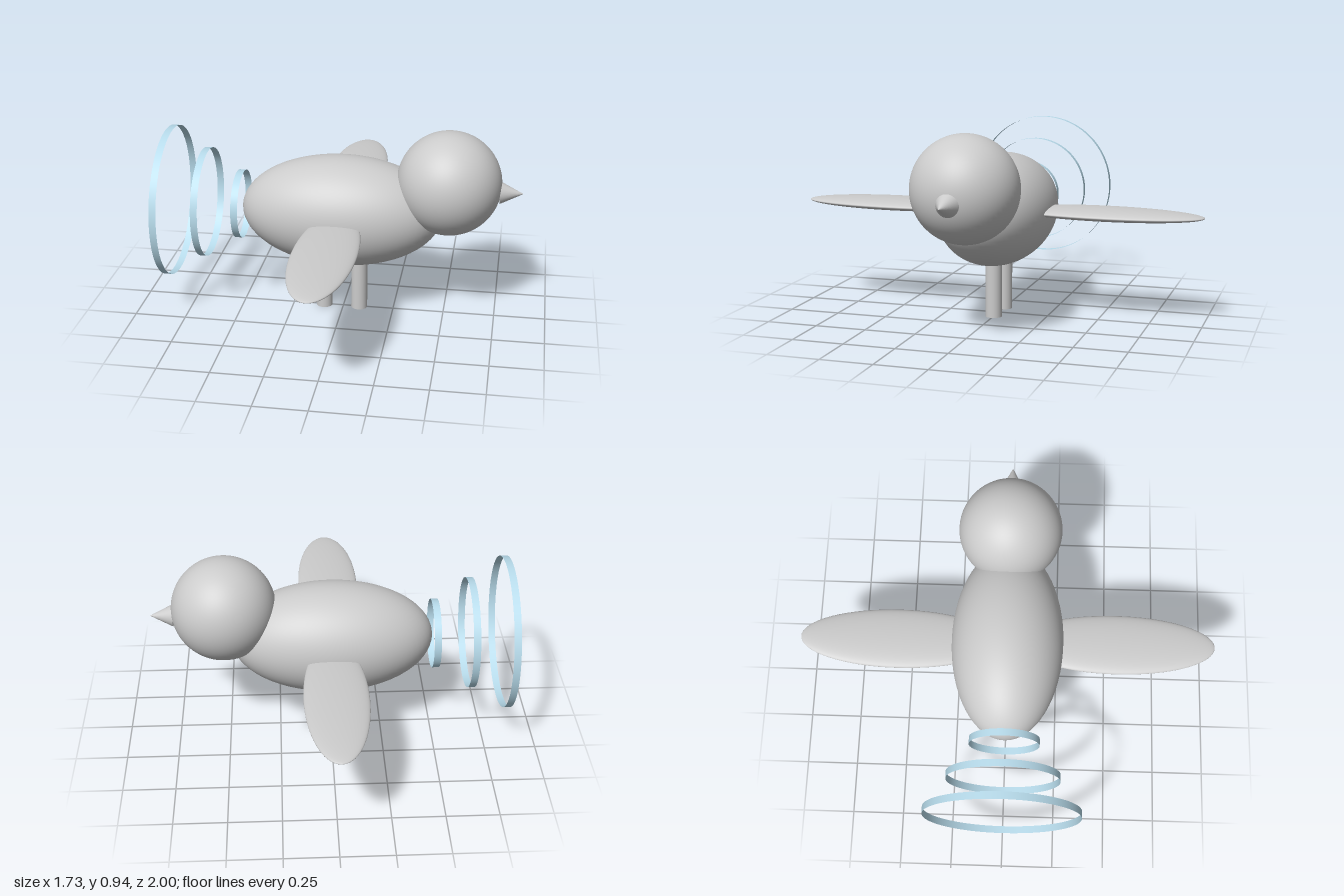
import * as THREE from 'three';

const grey = new THREE.MeshStandardMaterial({ color: 0xcccccc });
const openGrey = new THREE.MeshStandardMaterial({ color: 0xcccccc, side: THREE.DoubleSide });
const paleBlue = new THREE.MeshStandardMaterial({ color: 0xb8dcec, side: THREE.DoubleSide });

export function createModel() {
  const model = new THREE.Group();
  model.name = 'bird';

  const add = (name, geometry, material, x, y, z) => {
    const mesh = new THREE.Mesh(geometry, material);
    mesh.name = name;
    mesh.position.set(x, y, z);
    model.add(mesh);
    return mesh;
  };
  const ellipsoid = (rx, ry, rz) => new THREE.SphereGeometry(1, 64, 40).scale(rx, ry, rz);

  // Body and head
  add('body', ellipsoid(0.488, 0.27, 0.27), grey, -0.007, 0.52, 0);
  add('head', ellipsoid(0.25, 0.25, 0.25), grey, 0.508, 0.69, 0);

  // Beak pointing along +x
  const beak = new THREE.ConeGeometry(0.054, 0.11, 40).rotateZ(-Math.PI / 2);
  add('beak', beak, grey, 0.805, 0.655, 0);

  // Flat wings, one on each side
  for (const side of [1, -1]) {
    add(side > 0 ? 'frontWing' : 'backWing', ellipsoid(0.15, 0.029, 0.475), grey, -0.007, 0.52, side * 0.525);
  }

  // Tubular legs, open at the foot
  for (const [name, x] of [['rearLeg', -0.095], ['foreLeg', 0.08]]) {
    add(name, new THREE.CylinderGeometry(0.04, 0.04, 0.34, 40, 1, true), openGrey, x, 0.17, 0);
  }

  // Thin hoops widening behind the tail
  for (let i = 0; i < 3; i++) {
    const radius = 0.167 + i * 0.101;
    const hoop = new THREE.CylinderGeometry(radius, radius, 0.034, 80, 1, true).rotateZ(Math.PI / 2);
    add('tailHoop' + (i + 1), hoop, paleBlue, -0.507 - i * 0.171, 0.52, 0);
  }

  return model;
}
